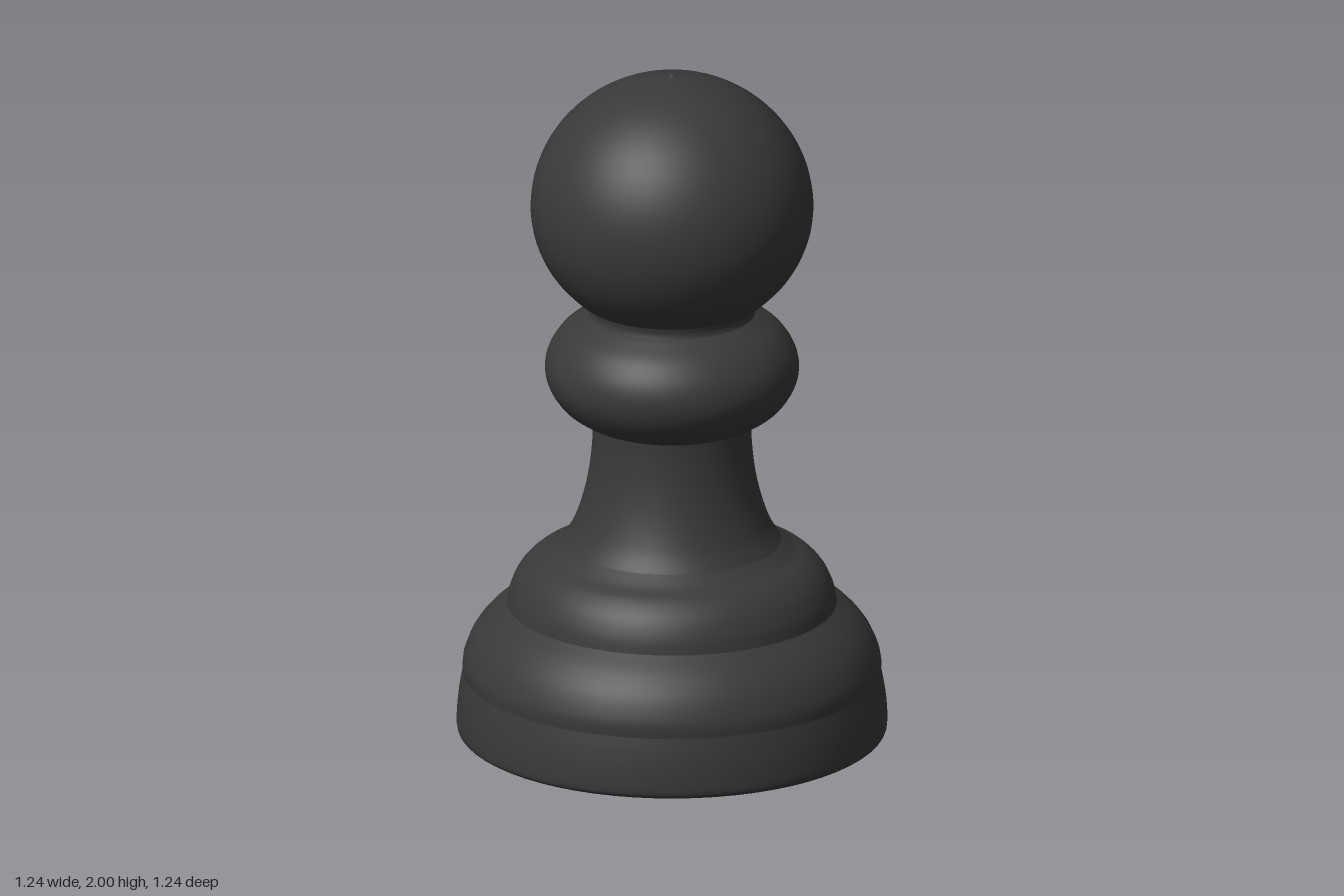
import * as THREE from 'three';

const SEGMENTS = 64;

export function createModel() {
  const model = new THREE.Group();
  model.name = 'pawn';
  const charcoal = new THREE.MeshStandardMaterial({ color: 0x393939 });
  charcoal.name = 'charcoal';

  // Turn a smooth curve through [radius, height] points, listed bottom to top
  function turned(name, profile, steps = 24) {
    const curve = new THREE.SplineCurve(profile.map(([r, y]) => new THREE.Vector2(r, y)));
    const points = curve.getPoints(steps);
    points.forEach((p) => { p.x = Math.max(p.x, 0); });
    const mesh = new THREE.Mesh(new THREE.LatheGeometry(points, SEGMENTS), charcoal);
    mesh.name = name;
    model.add(mesh);
  }

  // Flat underside
  const underside = new THREE.Mesh(new THREE.CircleGeometry(0.605, SEGMENTS), charcoal);
  underside.name = 'underside';
  underside.rotation.x = Math.PI / 2;
  model.add(underside);

  // Foot and stepped base
  turned('foot', [[0.605, 0], [0.617, 0.01], [0.62, 0.035], [0.617, 0.09], [0.61, 0.14], [0.602, 0.18]]);
  turned('lowerBase', [[0.602, 0.18], [0.6, 0.225], [0.574, 0.29], [0.53, 0.345], [0.475, 0.39]]);
  turned('upperBase', [[0.475, 0.39], [0.465, 0.435], [0.44, 0.485], [0.4, 0.525], [0.355, 0.55], [0.315, 0.58]]);

  // Flared stem
  turned('stem', [[0.315, 0.58], [0.285, 0.63], [0.257, 0.71], [0.238, 0.8], [0.229, 0.89], [0.228, 0.945]]);

  // Rounded collar and the short neck above it
  turned('collar', [[0.228, 0.945], [0.26, 0.957], [0.315, 0.995], [0.353, 1.05], [0.366, 1.107],
    [0.353, 1.165], [0.315, 1.22], [0.265, 1.257], [0.24, 1.272]], 40);
  turned('neck', [[0.24, 1.272], [0.237, 1.285], [0.24, 1.302]], 6);

  // Ball head, ending in a very slight point
  const head = [[0.24, 1.302]];
  for (let i = 0; i <= 10; i++) {
    const a = THREE.MathUtils.lerp(-0.85, 1.42, i / 10);
    head.push([0.407 * Math.cos(a), 1.595 + (a > 0 ? 0.391 : 0.37) * Math.sin(a)]);
  }
  head.push([0.02, 1.988], [0, 2]);
  turned('head', head, 60);

  return model;
}
